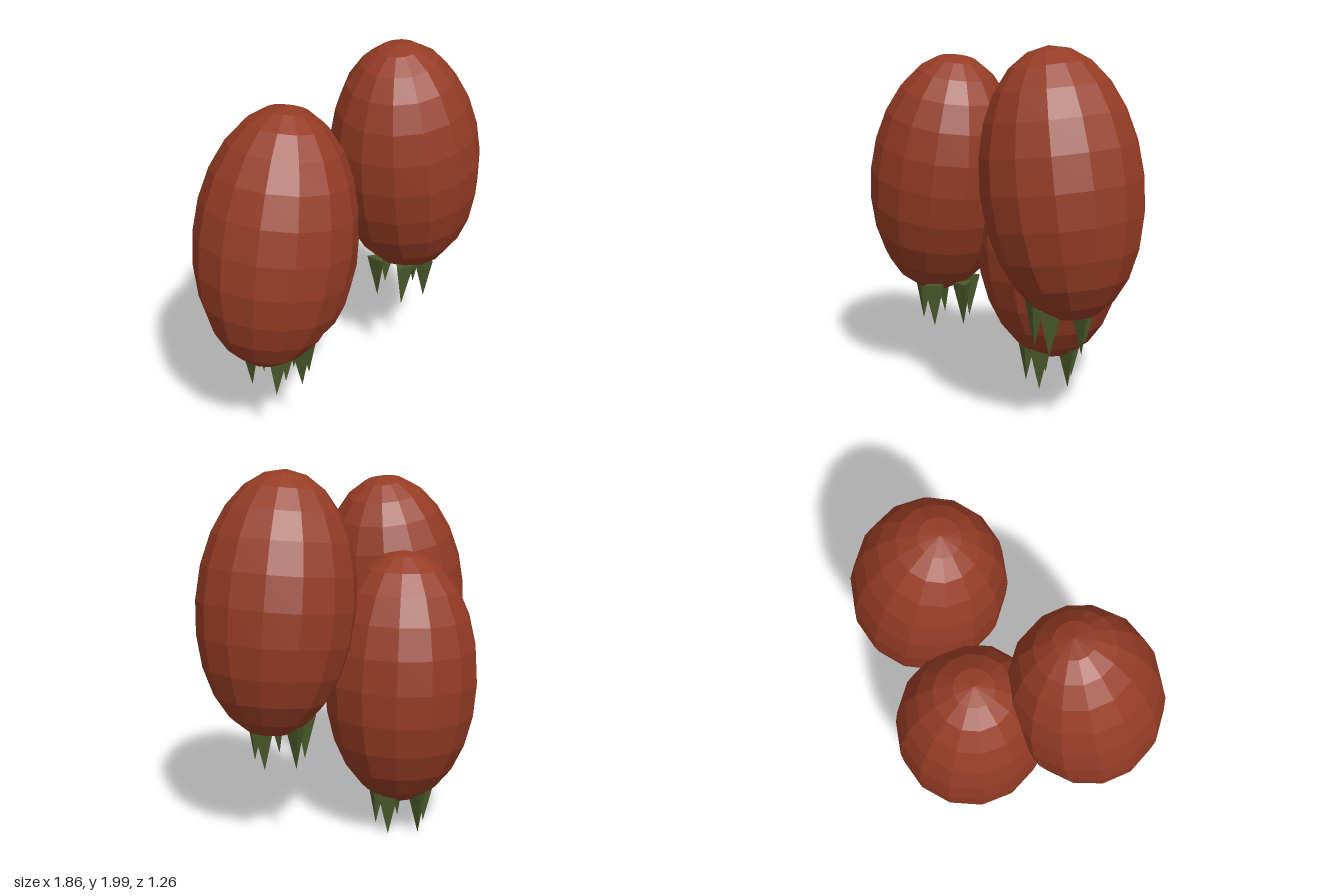
import * as THREE from 'three';

export function createModel() {
  const model = new THREE.Group();
  model.name = 'hangingFruitCluster';

  const skin = new THREE.MeshStandardMaterial({ color: 0x963c25, flatShading: true });
  const green = new THREE.MeshStandardMaterial({ color: 0x4b5a2c, flatShading: true });

  // Elongated low-poly body and a slim three-sided spike
  const bodyGeometry = new THREE.SphereGeometry(1, 14, 12).scale(0.416, 0.69, 0.416);
  const spikeGeometry = new THREE.ConeGeometry(0.064, 0.25, 3);

  function addFruit(name, x, y, z, tilt) {
    const fruit = new THREE.Group();
    fruit.name = name;
    fruit.position.set(x, y, z);

    const body = new THREE.Mesh(bodyGeometry, skin);
    body.name = 'fruitBody';
    body.rotation.z = tilt;
    fruit.add(body);

    // Ring of five downward spikes, upright even where the body leans
    for (let i = 0; i < 5; i++) {
      const a = (i / 5) * Math.PI * 2;
      const spike = new THREE.Mesh(spikeGeometry, green);
      spike.name = 'calyxSpike';
      spike.position.set(Math.cos(a) * 0.14, -0.735, Math.sin(a) * 0.14);
      spike.rotation.set(Math.PI, a, 0);
      fruit.add(spike);
    }
    model.add(fruit);
  }

  addFruit('rightFruit', -0.507, 1.205, 0.113, -0.175);
  addFruit('leftFruit', 0.506, 1.315, 0.225, 0.15);
  addFruit('backFruit', -0.003, 0.865, -0.226, 0.04);

  return model;
}
